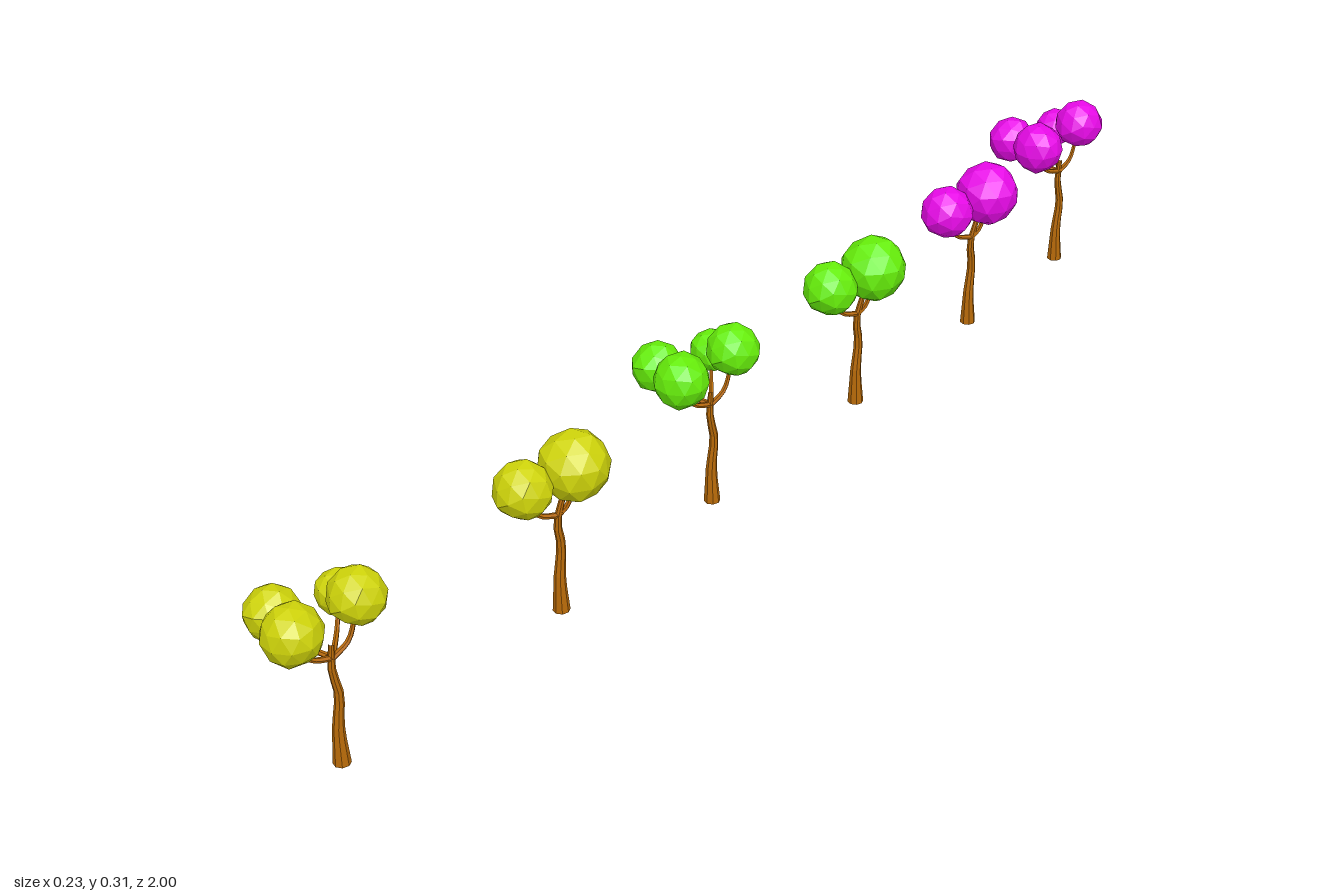
import * as THREE from 'three';
import { mergeVertices } from 'three/addons/utils/BufferGeometryUtils.js';

const BARK = new THREE.MeshStandardMaterial({ color: 0xb86a08, flatShading: true });

// Tube along a curve whose radius follows a list of evenly spaced values
function taperedTube(points, radii, sides = 8) {
  const steps = 10;
  const curve = new THREE.CatmullRomCurve3(points.map((p) => new THREE.Vector3(...p)));
  const geo = new THREE.TubeGeometry(curve, steps, 1, sides, false);
  const pos = geo.attributes.position;
  const v = new THREE.Vector3();
  for (let i = 0; i <= steps; i++) {
    const centre = curve.getPointAt(i / steps);
    const t = (i / steps) * (radii.length - 1);
    const k = Math.min(Math.floor(t), radii.length - 2);
    const r = THREE.MathUtils.lerp(radii[k], radii[k + 1], t - k);
    for (let j = 0; j <= sides; j++) {
      const n = i * (sides + 1) + j;
      v.fromBufferAttribute(pos, n).sub(centre).multiplyScalar(r).add(centre);
      pos.setXYZ(n, v.x, v.y, v.z);
    }
  }
  return geo;
}

// Faceted leaf ball with slightly uneven corners
function leafBall(radius, seed) {
  let geo = new THREE.IcosahedronGeometry(1, 1);
  geo.deleteAttribute('normal');
  geo.deleteAttribute('uv');
  geo = mergeVertices(geo, 1e-3);
  const pos = geo.attributes.position;
  const v = new THREE.Vector3();
  for (let i = 0; i < pos.count; i++) {
    const wobble = Math.sin(i * 12.9898 + seed * 78.233) * 43758.5453;
    const k = radius * (0.95 + 0.08 * (wobble - Math.floor(wobble)));
    v.fromBufferAttribute(pos, i).multiplyScalar(k);
    pos.setXYZ(i, v.x, v.y, v.z);
  }
  geo.rotateX(seed * 1.3).rotateY(seed * 0.9);
  geo.computeVertexNormals();
  return geo;
}

// Tree shapes; z is measured from the trunk, balls are [x, y, z, radius]
const SPREADING = {
  trunk: [[0.013, 0, 0], [0.013, 0.06, 0.001], [0.015, 0.11, -0.003], [0.013, 0.15, 0.004], [0.014, 0.19, 0.002]],
  fork: [0.014, 0.168, 0.002],
  balls: [
    [-0.04, 0.21, -0.07, 0.033],
    [0.021, 0.243, -0.043, 0.041],
    [-0.077, 0.207, 0.014, 0.04],
    [0, 0.228, 0.055, 0.043],
  ],
};
const COMPACT = {
  trunk: [[0.049, 0.033, 0], [0.049, 0.09, 0.001], [0.05, 0.14, -0.003], [0.05, 0.18, 0.003], [0.056, 0.225, -0.006]],
  fork: [0.051, 0.19, 0.002],
  balls: [
    [0.063, 0.264, -0.02, 0.052],
    [0.034, 0.25, 0.053, 0.043],
  ],
};

function makeTree(shape, leafMaterial) {
  const tree = new THREE.Group();

  const trunk = new THREE.Mesh(taperedTube(shape.trunk, [0.0125, 0.0095, 0.0075, 0.0065, 0.0055, 0.004]), BARK);
  trunk.name = 'trunk';
  tree.add(trunk);

  // Cap under the trunk
  const cap = new THREE.Mesh(new THREE.CircleGeometry(0.0125, 8).rotateX(Math.PI / 2), BARK);
  cap.name = 'trunkBase';
  cap.position.set(...shape.trunk[0]);
  tree.add(cap);

  shape.balls.forEach(([x, y, z, r], i) => {
    // Branch leaves the fork sideways, then lifts into its ball
    const [fx, fy, fz] = shape.fork;
    const bend = [fx + (x - fx) * 0.6, fy + (y - fy) * 0.2, fz + (z - fz) * 0.6];
    const branch = new THREE.Mesh(taperedTube([shape.fork, bend, [x, y, z]], [0.0045, 0.0035, 0.0025], 6), BARK);
    branch.name = 'branch';
    tree.add(branch);

    const ball = new THREE.Mesh(leafBall(r, i + 1), leafMaterial);
    ball.name = 'leafBall';
    ball.position.set(x, y, z);
    tree.add(ball);
  });
  return tree;
}

export function createModel() {
  const model = new THREE.Group();
  model.name = 'treeRow';

  // One spreading and one compact tree in each leaf colour
  const pairs = [
    { name: 'yellow', color: 0xcfd40a, spreading: 0.897, compact: 0.49 },
    { name: 'green', color: 0x66ee0a, spreading: 0.094, compact: -0.233 },
    { name: 'magenta', color: 0xe80ae8, spreading: -0.9, compact: -0.56 },
  ];
  for (const { name, color, spreading, compact } of pairs) {
    const leaves = new THREE.MeshStandardMaterial({ color, flatShading: true });
    const a = makeTree(SPREADING, leaves);
    a.name = name + 'SpreadingTree';
    a.position.z = spreading;
    const b = makeTree(COMPACT, leaves);
    b.name = name + 'CompactTree';
    b.position.z = compact;
    model.add(a, b);
  }
  return model;
}
